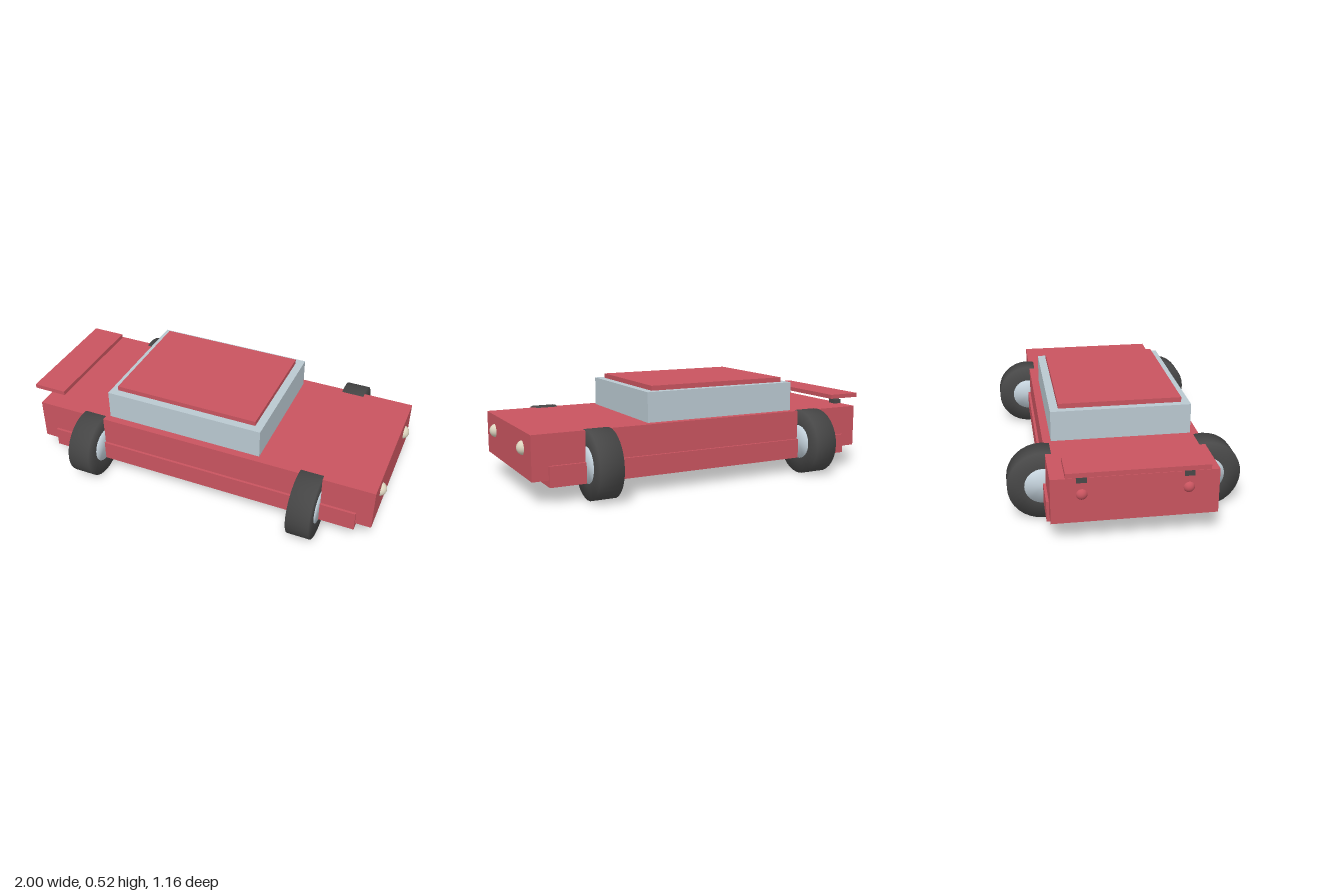
import * as THREE from 'three';

const material = (name, color) => {
  const m = new THREE.MeshStandardMaterial({ color });
  m.name = name;
  return m;
};

export function createModel() {
  const red = material('red paint', 0xc8545f);
  const glass = material('pale glass', 0xb9c8d0);
  const rubber = material('dark rubber', 0x484848);
  const metal = material('hub metal', 0xc6d4de);
  const cream = material('headlight cream', 0xded6c0);

  const car = new THREE.Group();
  car.name = 'car';

  const add = (name, geometry, mat, x, y, z, parent = car) => {
    const mesh = new THREE.Mesh(geometry, mat);
    mesh.name = name;
    mesh.position.set(x, y, z);
    parent.add(mesh);
    return mesh;
  };

  // Box given by its x and y ranges and its half depth, centred at z
  const box = (name, mat, x0, x1, y0, y1, halfZ, z = 0) =>
    add(name, new THREE.BoxGeometry(x1 - x0, y1 - y0, halfZ * 2), mat,
      (x0 + x1) / 2, (y0 + y1) / 2, z);

  // Body, sill and cabin
  box('body', red, -0.928, 0.973, 0.118, 0.343, 0.393);
  box('sill', red, -0.845, 0.89, 0.084, 0.188, 0.406);
  box('cabin', glass, -0.513, 0.353, 0.34, 0.498, 0.352);
  box('roof', red, -0.475, 0.311, 0.498, 0.523, 0.31);

  // Rear wing floating just above two short posts
  box('spoiler', red, -1, -0.815, 0.382, 0.405, 0.33);
  for (const side of [-1, 1])
    box('spoilerPost', rubber, -0.929, -0.884, 0.318, 0.366, 0.025, side * 0.25);

  // Lights sunk into both ends
  for (const side of [-1, 1]) {
    add('headlight', new THREE.SphereGeometry(0.037, 24, 16), cream, 0.963, 0.258, side * 0.249);
    add('taillight', new THREE.SphereGeometry(0.03, 24, 16), red, -0.915, 0.26, side * 0.249);
  }

  // Wheels turn about the x axis; softly shaded square-edged rings with hubs
  const lathe = (points) =>
    new THREE.LatheGeometry(points.map(([r, h]) => new THREE.Vector2(r, h)), 32);
  const half = 0.061;
  const tireShape = lathe([[0.088, -half], [0.174, -half], [0.174, half], [0.088, half]]);
  const hubHalf = half + 0.001;
  const hubShape = lathe([[0, -hubHalf], [0.091, -hubHalf], [0.091, hubHalf], [0, hubHalf]]);
  for (const x of [-0.597, 0.642]) {
    for (const side of [-1, 1]) {
      const wheel = new THREE.Group();
      wheel.name = x > 0 ? 'frontWheel' : 'rearWheel';
      wheel.position.set(x, 0.175, side * 0.406);
      wheel.rotation.z = Math.PI / 2;
      add('tire', tireShape, rubber, 0, 0, 0, wheel);
      add('hub', hubShape, metal, 0, 0, 0, wheel);
      car.add(wheel);
    }
  }

  return car;
}
